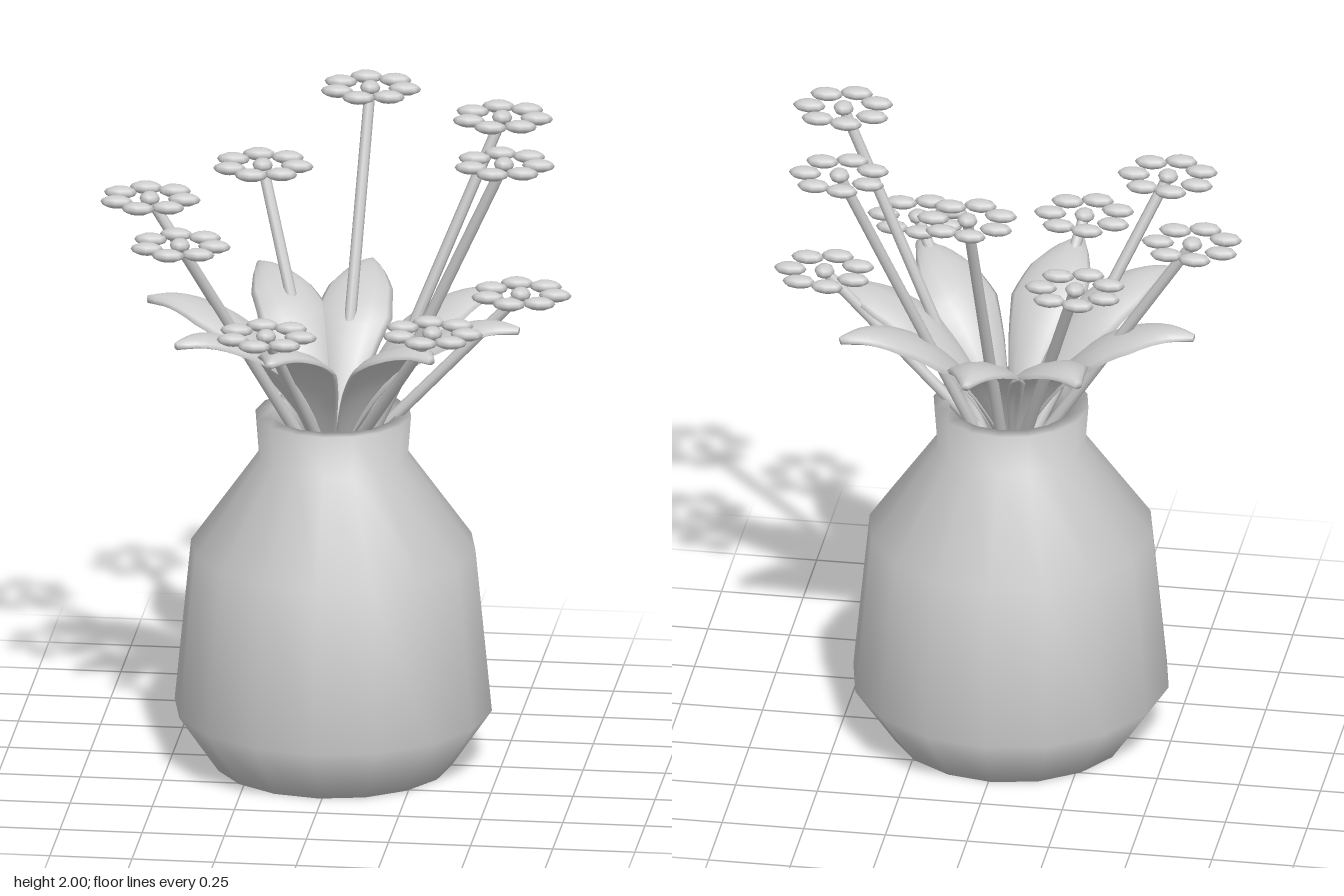
import * as THREE from 'three';

const grey = new THREE.MeshStandardMaterial({ color: 0xcccccc });
grey.name = 'light grey';
const CX = -0.01; // axis of the vase and the bouquet

function add(parent, name, geometry) {
  const mesh = new THREE.Mesh(geometry, grey);
  mesh.name = name;
  parent.add(mesh);
  return mesh;
}

// Closed vase shell: outside from the base up, over the rim, down inside
function vaseGeometry() {
  const profile = [
    [0, 0], [0.36, 0], [0.483, 0.18], [0.433, 0.69], [0.227, 0.98], [0.237, 1.11],
    [0.19, 1.11], [0.18, 0.98], [0.38, 0.68], [0.42, 0.2], [0, 0.06],
  ].map(([r, y]) => new THREE.Vector2(r, y));
  return new THREE.LatheGeometry(profile, 16);
}

// Leaf along +x: lens-shaped sections, arched across, swept along a bent rib
function leafGeometry(length) {
  const rib = new THREE.CatmullRomCurve3([
    [0, 0.93], [0.07, 1.08], [0.17, 1.24], [0.28, 1.35], [0.4, 1.41], [0.5, 1.43], [0.58, 1.42],
  ].map(([r, y]) => new THREE.Vector3(r * length / 0.58, y, 0)));
  const widths = [0.006, 0.038, 0.085, 0.12, 0.1, 0.055, 0.012];
  const rows = 18, sides = 12, pos = [], index = [];
  for (let i = 0; i <= rows; i++) {
    const t = i / rows, f = t * (widths.length - 1), k = Math.min(Math.floor(f), widths.length - 2);
    const w = THREE.MathUtils.lerp(widths[k], widths[k + 1], f - k);
    const p = rib.getPoint(t), d = rib.getTangent(t);
    for (let j = 0; j < sides; j++) {
      const a = j / sides * Math.PI * 2, c = Math.cos(a);
      const lift = Math.sin(a) * Math.min(0.014, w) - 0.25 * w * c * c;
      pos.push(p.x - d.y * lift, p.y + d.x * lift, c * w);
      if (i < rows) {
        const q = i * sides + j, r = i * sides + (j + 1) % sides;
        index.push(q, r, q + sides, r, r + sides, q + sides);
      }
    }
  }
  // end caps
  for (let j = 1; j < sides - 1; j++) {
    const e = rows * sides;
    index.push(0, j + 1, j, e, e + j, e + j + 1);
  }
  // keep the faces pointing outwards
  const g = new THREE.BufferGeometry();
  g.setAttribute('position', new THREE.Float32BufferAttribute(pos, 3));
  const v = (n) => new THREE.Vector3().fromArray(pos, n * 3);
  let volume = 0;
  for (let n = 0; n < index.length; n += 3)
    volume += v(index[n]).dot(v(index[n + 1]).cross(v(index[n + 2])));
  if (volume < 0) index.reverse();
  g.setIndex(index);
  g.computeVertexNormals();
  return g;
}

// Straight stem between two points
function stem(parent, from, to) {
  const dir = to.clone().sub(from);
  const mesh = add(parent, 'stem', new THREE.CylinderGeometry(0.017, 0.019, dir.length(), 8));
  mesh.position.copy(from).addScaledVector(dir, 0.5);
  mesh.quaternion.setFromUnitVectors(new THREE.Vector3(0, 1, 0), dir.normalize());
}

export function createModel() {
  const model = new THREE.Group();
  model.name = 'vaseOfFlowers';

  const vase = add(model, 'vase', vaseGeometry());
  vase.position.set(CX, 0, 0.005);

  // Leaves: angle in degrees from +x towards +z, reach
  const leaves = [[188, 0.58], [238, 0.53], [276, 0.52], [330, 0.55], [8, 0.58], [49, 0.53], [105, 0.52], [141, 0.56]];
  for (const [deg, reach] of leaves) {
    const leaf = add(model, 'leaf', leafGeometry(reach));
    leaf.position.x = CX;
    leaf.rotation.y = -THREE.MathUtils.degToRad(deg);
  }

  // Flowers: head x, y, z and the height where the stem meets the axis
  const flowers = [
    [0.04, 1.98, -0.5, 0.79], [0.47, 1.98, -0.27, 0.79], [0.53, 1.98, 0.17, 0.79],
    [-0.58, 1.74, -0.085, 0.86], [-0.28, 1.74, -0.44, 0.86], [-0.435, 1.74, 0.345, 0.86],
    [0.56, 1.51, 0, 0.91], [0.34, 1.51, 0.4, 0.91], [-0.155, 1.51, 0.49, 0.91],
  ];
  const ball = new THREE.SphereGeometry(1, 8, 6);
  for (const [x, y, z, baseY] of flowers) {
    const flower = new THREE.Group();
    flower.name = 'flower';
    model.add(flower);
    stem(flower, new THREE.Vector3(CX, baseY, 0), new THREE.Vector3(x, y, z));
    const heart = add(flower, 'flowerCentre', ball);
    heart.scale.set(0.031, 0.022, 0.031);
    heart.position.set(x, y, z);
    // seven petals, all stretched along x
    for (let i = 0; i < 7; i++) {
      const a = i / 7 * Math.PI * 2;
      const petal = add(flower, 'petal', ball);
      petal.scale.set(0.05, 0.02, 0.028);
      petal.position.set(x + 0.105 * Math.cos(a), y, z + 0.105 * Math.sin(a));
    }
  }
  return model;
}
